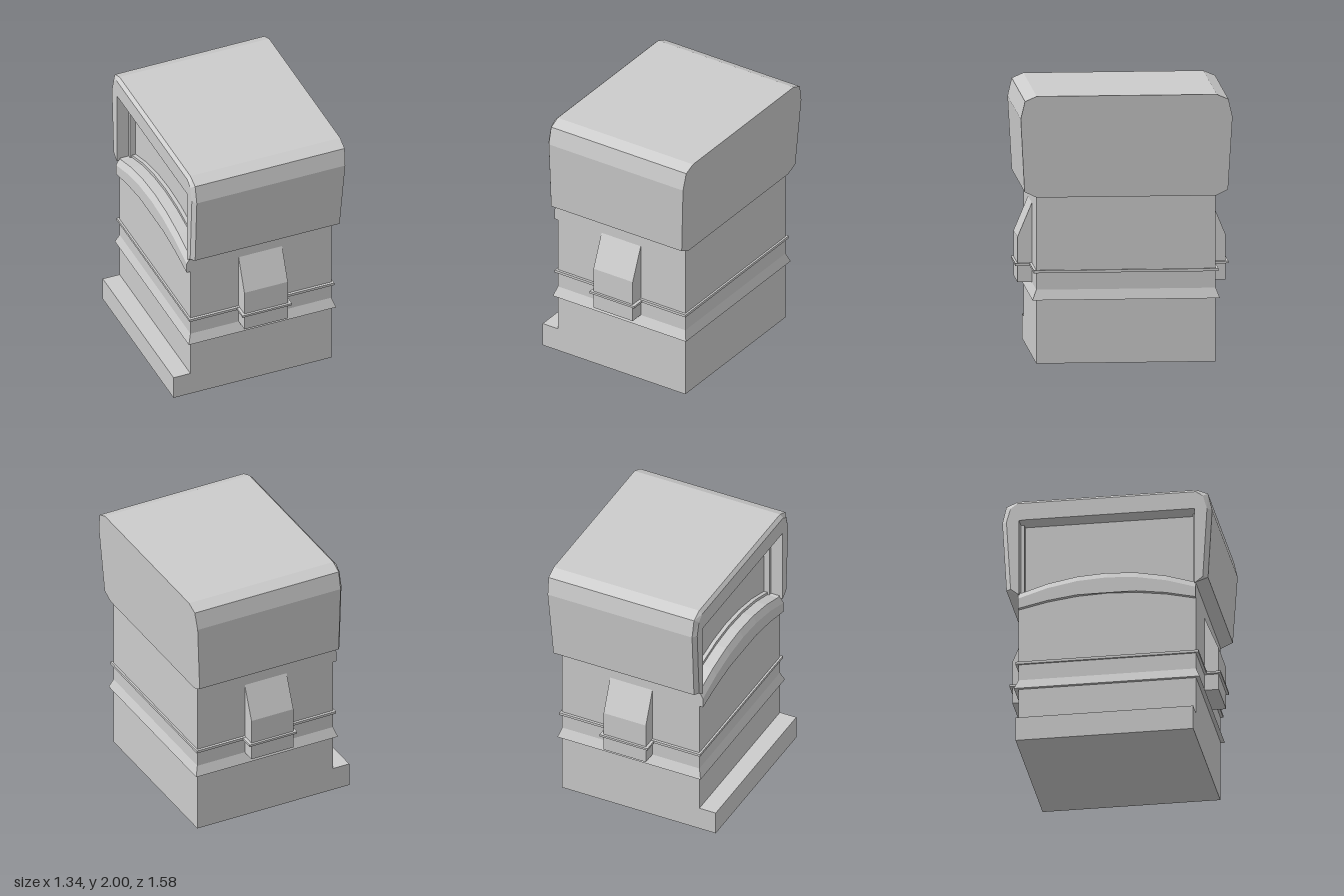
import * as THREE from 'three';

export function createModel() {
  const model = new THREE.Group();
  const material = new THREE.MeshStandardMaterial({ color: 0xcccccc, flatShading: true });

  function add(name, geometry) {
    const mesh = new THREE.Mesh(geometry, material);
    mesh.name = name;
    model.add(mesh);
    return mesh;
  }

  // Box given by its limits
  function box(name, x0, x1, y0, y1, z0, z1) {
    const g = new THREE.BoxGeometry(x1 - x0, y1 - y0, z1 - z0);
    g.translate((x0 + x1) / 2, (y0 + y1) / 2, (z0 + z1) / 2);
    return add(name, g);
  }

  // Cross-section in (z, y) swept along x, with an optional vertex rule
  function sweep(name, points, x0, x1, rule, steps = 1) {
    const shape = new THREE.Shape(points.map(([z, y]) => new THREE.Vector2(-z, y)));
    const g = new THREE.ExtrudeGeometry(shape, { depth: x1 - x0, steps, bevelEnabled: false });
    g.rotateY(Math.PI / 2).translate(x0, 0, 0);
    if (rule) {
      const p = g.attributes.position;
      const v = new THREE.Vector3();
      for (let i = 0; i < p.count; i++) {
        rule(v.fromBufferAttribute(p, i));
        p.setXYZ(i, v.x, v.y, v.z);
      }
      g.computeVertexNormals();
    }
    return add(name, g);
  }

  // Body and front step
  const X0 = -0.535, X1 = 0.595, Z = 0.663;
  box('body', X0, X1, 0, 1.26, -Z, Z);
  box('step', -0.67, X0, 0, 0.185, -Z, Z);

  // Flared ledge
  const ledge = box('flaredLedge', X0 - 0.025, X1 + 0.025, 0.475, 0.55, -Z - 0.03, Z + 0.03);
  const lp = ledge.geometry.attributes.position;
  for (let i = 0; i < lp.count; i++) {
    if (lp.getY(i) > 0.5) {
      lp.setX(i, lp.getX(i) > 0 ? X1 : X0);
      lp.setZ(i, Math.sign(lp.getZ(i)) * Z);
    }
  }
  ledge.geometry.computeVertexNormals();

  // Thin belt around the body
  box('belt', X0 - 0.015, X1 + 0.015, 0.675, 0.695, -Z - 0.02, Z + 0.02);

  // Buttresses with sloped tops on both sides, each wrapped by the belt
  for (const s of [1, -1]) {
    const side = [[0.6, 0.55], [0.77, 0.55], [0.77, 0.885], [Z, 1.14], [0.6, 1.14]];
    sweep('buttress', side.map(([z, y]) => [s * z, y]), -0.148, 0.2);
    const a = s * 0.6, b = s * 0.788;
    box('buttressBelt', -0.17, 0.225, 0.675, 0.692, Math.min(a, b), Math.max(a, b));
  }

  // Arched band between two curves
  function arch(endLow, midLow, endHigh, midHigh, halfWidth) {
    const low = [], high = [], n = 6;
    for (let i = 0; i <= n; i++) {
      const t = -1 + 2 * i / n;
      const k = 1 - t * t;
      low.push([t * halfWidth, endLow + (midLow - endLow) * k]);
      high.push([t * halfWidth, endHigh + (midHigh - endHigh) * k]);
    }
    return low.concat(high.reverse());
  }
  sweep('archedSill', arch(1.1, 1.1, 1.25, 1.375, Z - 0.003), X0, -0.4);
  // Projecting moulding with a sloped upper face
  const moulding = arch(1.12, 1.21, 1.25, 1.375, Z);
  const highPoints = moulding.slice(7);
  sweep('archedMoulding', moulding, X0 - 0.03, X0, (v) => {
    const upper = highPoints.some(([z, y]) => Math.abs(z - v.z) < 1e-4 && Math.abs(y - v.y) < 1e-4);
    if (v.x < X0 - 0.02 && upper) v.y -= 0.05;
  });

  // Hood: solid rear part with a leaning outer face
  const half = [[0.663, 1.24], [0.752, 1.283], [0.783, 1.83], [0.752, 1.963], [0.665, 2]];
  const mirrored = half.map(([z, y]) => [-z, y]).reverse();
  const back = -0.42;
  sweep('hood', half.concat(mirrored), back, 0.62, (v) => {
    if (v.x > 0) v.x = 0.62 + 0.045 * (v.y - 1.24) / 0.76;
  });

  // Hood mouth: frame open at the bottom, with a bevelled front rim
  const opening = [[-0.655, 1.24], [-0.655, 1.84], [0.655, 1.84], [0.655, 1.24]];
  sweep('hoodMouth', half.concat(mirrored, opening), -0.66, back, (v) => {
    if (v.x < -0.6) {
      v.x = -0.56;
      if (Math.abs(v.z) > 0.7) v.z -= Math.sign(v.z) * 0.035;
      if (v.y > 1.9) v.y -= 0.025;
    } else if (v.x < -0.5) v.x = X0;
  }, 2);

  // Narrow frame around the recessed panel
  for (const s of [1, -1]) {
    box('recessJamb', -0.465, back, 1.24, 1.84, s * 0.645 - 0.015, s * 0.645 + 0.015);
  }
  sweep('recessRim', arch(1.22, 1.34, 1.275, 1.4, 0.645), -0.45, back + 0.005);

  return model;
}
